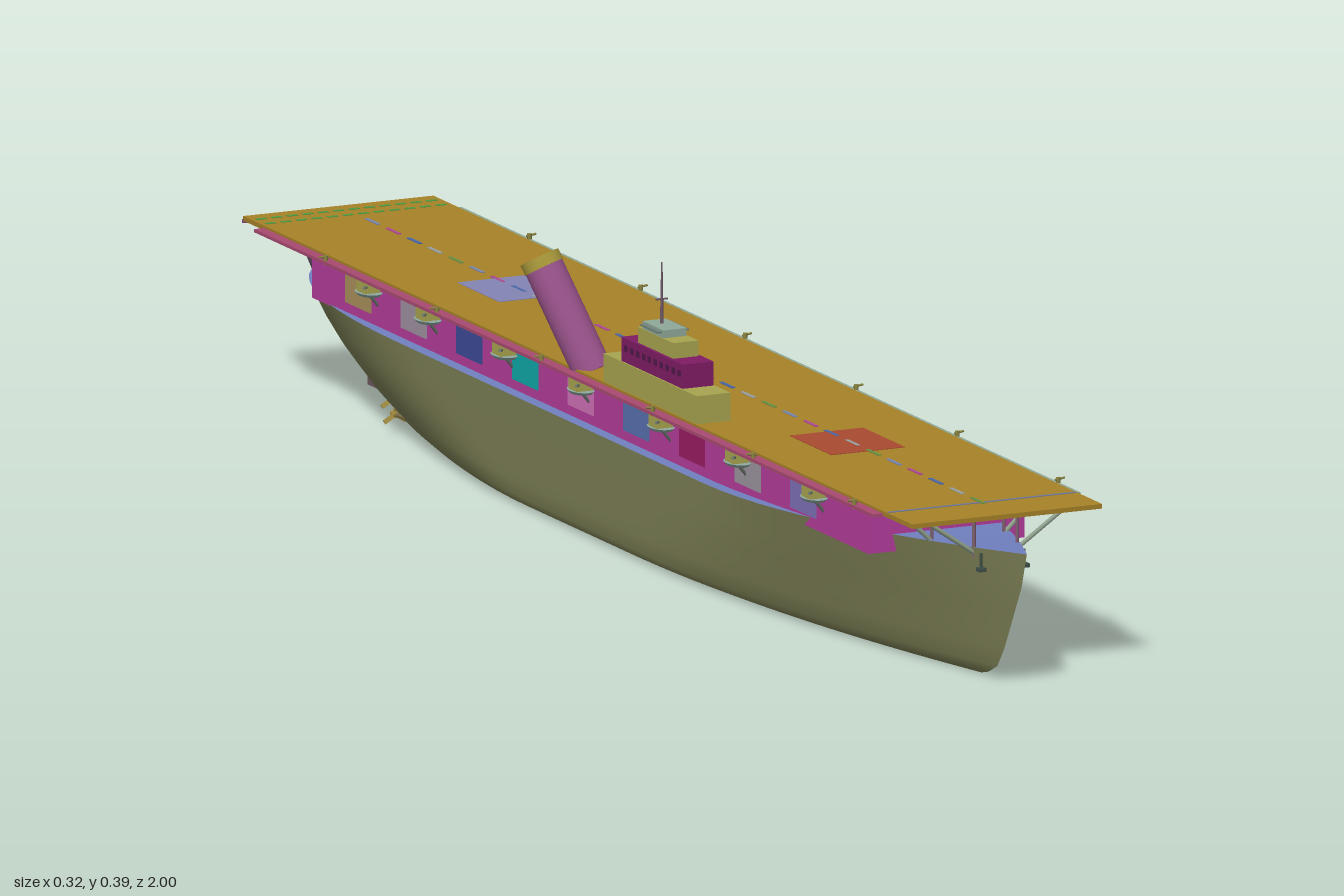
import * as THREE from 'three';

const CX = 0.012; // ship centreline
const mats = new Map();
function mat(color, side = THREE.FrontSide) {
  const key = color + '/' + side;
  if (!mats.has(key)) {
    const m = new THREE.MeshStandardMaterial({ side });
    m.color.set(color);
    mats.set(key, m);
  }
  return mats.get(key);
}

export function createModel() {
  const ship = new THREE.Group();
  ship.name = 'carrier';

  const add = (name, geo, color, side) => {
    const m = new THREE.Mesh(geo, mat(color, side));
    m.name = name;
    ship.add(m);
    return m;
  };
  // Box given by its extents
  const box = (name, color, x0, x1, y0, y1, z0, z1) => {
    const m = add(name, new THREE.BoxGeometry(x1 - x0, y1 - y0, z1 - z0), color);
    m.position.set((x0 + x1) / 2, (y0 + y1) / 2, (z0 + z1) / 2);
    return m;
  };
  // Cylinder between two points
  const rod = (name, color, a, b, r, sides = 8, rTop = r) => {
    const p = new THREE.Vector3(...a), q = new THREE.Vector3(...b);
    const d = q.clone().sub(p);
    const m = add(name, new THREE.CylinderGeometry(rTop, r, d.length(), sides), color);
    m.position.copy(p).add(q).multiplyScalar(0.5);
    m.quaternion.setFromUnitVectors(new THREE.Vector3(0, 1, 0), d.normalize());
    return m;
  };

  // Hull rows from keel to deck edge: height share, width, bow z, stern z
  const rows = [
    [0, 0, 0.87, -0.80], [0, 0.45, 0.87, -0.80], [0, 0.84, 0.87, -0.80],
    [0.03, 0.92, 0.89, -0.82], [0.1, 0.97, 0.915, -0.85], [0.25, 0.985, 0.935, -0.90],
    [0.4, 0.99, 0.95, -0.935], [0.55, 1.0, 0.965, -0.965], [0.75, 1.01, 0.985, -0.988],
    [1, 1.02, 1.0, -1.0],
  ];
  const sheer = z => 0.144 + 0.034 * Math.pow(Math.max(0, (z - 0.35) / 0.65), 1.2);
  const N = 56;
  function hullPoint(i, [v, w, zb, zs]) {
    const t = 0.5 - 0.5 * Math.cos(Math.PI * i / N); // stations crowd at the ends
    const z = zs + (zb - zs) * t;
    const bowStart = 0.1 + 0.3 * v, sternStart = -0.2 - 0.3 * v;
    let f = 1;
    if (z > bowStart) f = 1 - Math.pow((z - bowStart) / (zb - bowStart), 1.9);
    if (z < sternStart) {
      const s = Math.min(1, (sternStart - z) / (sternStart - zs));
      f = Math.pow(Math.max(0, 1 - Math.pow(s, 1.7 + v)), 0.95 - 0.35 * v);
    }
    return [0.123 * w * Math.max(0, f), v * sheer(z), z];
  }
  function grid(lines, side) {
    const pos = [], idx = [], n = N + 1;
    for (const line of lines)
      for (let i = 0; i <= N; i++) {
        const [x, y, z] = line(i);
        pos.push(CX + side * x, y, z);
      }
    for (let j = 0; j + 1 < lines.length; j++)
      for (let i = 0; i < N; i++) {
        const a = j * n + i, b = a + 1, c = a + n, d = c + 1;
        if (side > 0) idx.push(a, c, b, b, c, d);
        else idx.push(a, b, c, b, d, c);
      }
    const g = new THREE.BufferGeometry();
    g.setAttribute('position', new THREE.Float32BufferAttribute(pos, 3));
    g.setIndex(idx);
    g.computeVertexNormals();
    return g;
  }
  const hullLines = rows.map(r => i => hullPoint(i, r));
  const edge = hullLines[rows.length - 1];
  const middle = i => { const p = edge(i); return [0, p[1], p[2]]; };
  for (const s of [1, -1]) {
    add(s > 0 ? 'leftHull' : 'rightHull', grid(hullLines, s), s > 0 ? 0xb573ae : 0x7d8055);
    add('weatherDeck', grid([edge, middle], s), 0x7080c0, THREE.DoubleSide);
  }

  // Hangar with coloured side doors
  box('hangar', 0xb53c9c, -0.097, 0.12, 0.142, 0.212, -0.83, 0.77);
  const doors = [0xa8905a, 0xa090a0, 0x3c4a96, 0x10a8a8, 0xd070b8, 0x5870b0, 0x9c1c64, 0x9c94a0, 0x8070b8];
  doors.forEach((c, i) => {
    const z = 0.585 - 0.16 * i;
    box('hangarDoor', c, 0.119, 0.122, 0.157, 0.203, z - 0.036, z + 0.036);
    box('hangarDoor', doors[8 - i], -0.099, -0.096, 0.157, 0.203, z - 0.036, z + 0.036);
  });

  // Flight deck, stern ramp, side catwalks
  box('flightDeck', 0xa68228, -0.12, 0.144, 0.212, 0.218, -0.98, 0.943);
  const ramp = box('sternRamp', 0x8c4a80, -0.112, 0.132, 0.207, 0.212, -1.0, -0.972);
  ramp.rotation.x = -0.2;
  box('rightCatwalk', 0xa84a70, -0.134, -0.118, 0.211, 0.215, -0.92, 0.86);
  box('leftCatwalk', 0x8fa898, 0.142, 0.154, 0.211, 0.215, -0.92, 0.86);

  // Lifts and deck markings
  box('aftLift', 0x8484b4, -0.042, 0.06, 0.217, 0.2188, -0.525, -0.405);
  box('forwardLift', 0xa84a30, -0.042, 0.06, 0.217, 0.2188, 0.43, 0.55);
  const dashColors = [0x7a88b0, 0xb04a90, 0x4a68a8, 0x9aa0a0, 0x6a9040];
  for (let i = 0; i < 30; i++) {
    const z = -0.88 + i * 0.06;
    box('centreDash', dashColors[i % 5], 0.009, 0.014, 0.2175, 0.2191, z - 0.018, z + 0.018);
  }
  box('bowLine', 0x707898, -0.118, 0.142, 0.2175, 0.2187, 0.868, 0.873);
  for (const z of [-0.955, -0.928])
    for (let i = 0; i < 12; i++)
      box('sternDash', 0x4c9a40, -0.114 + i * 0.0215, -0.1 + i * 0.0215, 0.2175, 0.2187, z - 0.003, z + 0.003);

  // Struts below the overhanging deck ends, anchors
  for (const s of [1, -1]) {
    for (const [z, foot] of [[0.91, 0.03], [0.83, 0.05]]) {
      rod('bowStrut', 0x8fa08c, [CX + s * foot, 0.165, z], [CX + s * 0.1, 0.213, z], 0.003);
      rod('bowPillar', 0x806070, [CX + s * foot, 0.16, z], [CX + s * foot, 0.213, z], 0.0025);
    }
    for (const [z, foot] of [[-0.88, 0.07], [-0.95, 0.045]])
      rod('sternStrut', 0x604860, [CX + s * foot, 0.143, z], [CX + s * (foot + 0.03), 0.213, z], 0.0035);
    const ax = CX + s * 0.03;
    rod('anchorShank', 0x405048, [ax, 0.145, 0.93], [ax, 0.168, 0.93], 0.002);
    box('anchorFluke', 0x405048, ax - 0.005, ax + 0.005, 0.145, 0.15, 0.926, 0.936);
  }

  // Gun platforms along the hangar and light guns on the catwalks
  for (const s of [1, -1]) {
    const x = CX + s * 0.122;
    for (const z of [0.64, 0.42, 0.2, -0.03, -0.25, -0.47, -0.64]) {
      const tub = add('gunPlatform', new THREE.CylinderGeometry(0.016, 0.013, 0.004, 16), 0x8fa8a0);
      tub.position.set(x, 0.188, z);
      tub.scale.z = 1.5;
      box('gunMount', 0xa8a450, x - 0.011, x + 0.011, 0.19, 0.205, z - 0.012, z + 0.012);
      rod('gunBarrel', 0x707870, [x, 0.197, z], [x + s * 0.016, 0.2, z + 0.02], 0.002);
      rod('platformBrace', 0x606860, [x - s * 0.014, 0.17, z], [x, 0.187, z], 0.002);
    }
    for (const z of [-0.72, -0.4, -0.1, 0.22, 0.51, 0.8]) {
      const gx = s > 0 ? 0.152 : -0.131;
      rod('lightGunPost', 0x8a8440, [gx, 0.21, z], [gx, 0.222, z], 0.003);
      rod('lightGunBarrel', 0x8a8440, [gx - s * 0.004, 0.219, z], [gx + s * 0.009, 0.221, z], 0.0015);
    }
  }

  // Island
  box('islandBase', 0xa8a450, -0.118, -0.071, 0.217, 0.254, 0.052, 0.32);
  box('islandMiddle', 0x801c64, -0.116, -0.073, 0.254, 0.285, 0.1, 0.275);
  for (let i = 0; i < 10; i++)
    box('islandWindow', 0x50184a, -0.1165, -0.0725, 0.268, 0.276, 0.108 + i * 0.017, 0.117 + i * 0.017);
  box('bridge', 0xa8a450, -0.112, -0.077, 0.285, 0.305, 0.138, 0.24);
  box('bridgeRoof', 0x8fa898, -0.111, -0.079, 0.305, 0.315, 0.15, 0.21);
  box('lookoutPlatform', 0x6c8078, -0.117, -0.073, 0.3105, 0.3125, 0.155, 0.205);
  rod('mast', 0x705868, [-0.095, 0.313, 0.172], [-0.095, 0.393, 0.172], 0.0025, 8, 0.001);
  box('mastYard', 0x705868, -0.103, -0.087, 0.345, 0.347, 0.171, 0.173);

  // Raked funnel
  const foot = new THREE.Vector3(-0.094, 0.212, -0.028), top = new THREE.Vector3(-0.138, 0.35, -0.091);
  const at = k => foot.clone().lerp(top, k).toArray();
  rod('funnel', 0x99528a, at(0), at(0.92), 0.025, 32);
  rod('funnelCap', 0xa8983a, at(0.91), at(1), 0.026, 32);

  // Propellers, shafts and rudder
  for (const s of [1, -1])
    for (const [off, z] of [[0.04, -0.74], [0.075, -0.66]]) {
      const x = CX + s * off;
      rod('shaft', 0x807048, [x, 0.024, z], [x * 0.95, 0.028, z + 0.1], 0.003);
      rod('shaftBracket', 0x606038, [x, 0.024, z + 0.012], [x - s * 0.01, 0.055, z + 0.012], 0.0025);
      rod('propellerHub', 0xa08a40, [x, 0.024, z - 0.008], [x, 0.024, z + 0.006], 0.004, 12);
      for (let k = 0; k < 3; k++) {
        const blade = box('propellerBlade', 0xa08a40, x - 0.003, x + 0.003, 0.016, 0.032, z - 0.001, z + 0.001);
        const a = k * Math.PI * 2 / 3;
        blade.position.set(x - Math.sin(a) * 0.01, 0.024 + Math.cos(a) * 0.01, z);
        blade.rotation.set(0, 0.4, a, 'ZYX');
      }
    }
  box('rudder', 0x6c5860, CX - 0.003, CX + 0.003, 0.008, 0.06, -0.89, -0.845);

  return ship;
}
